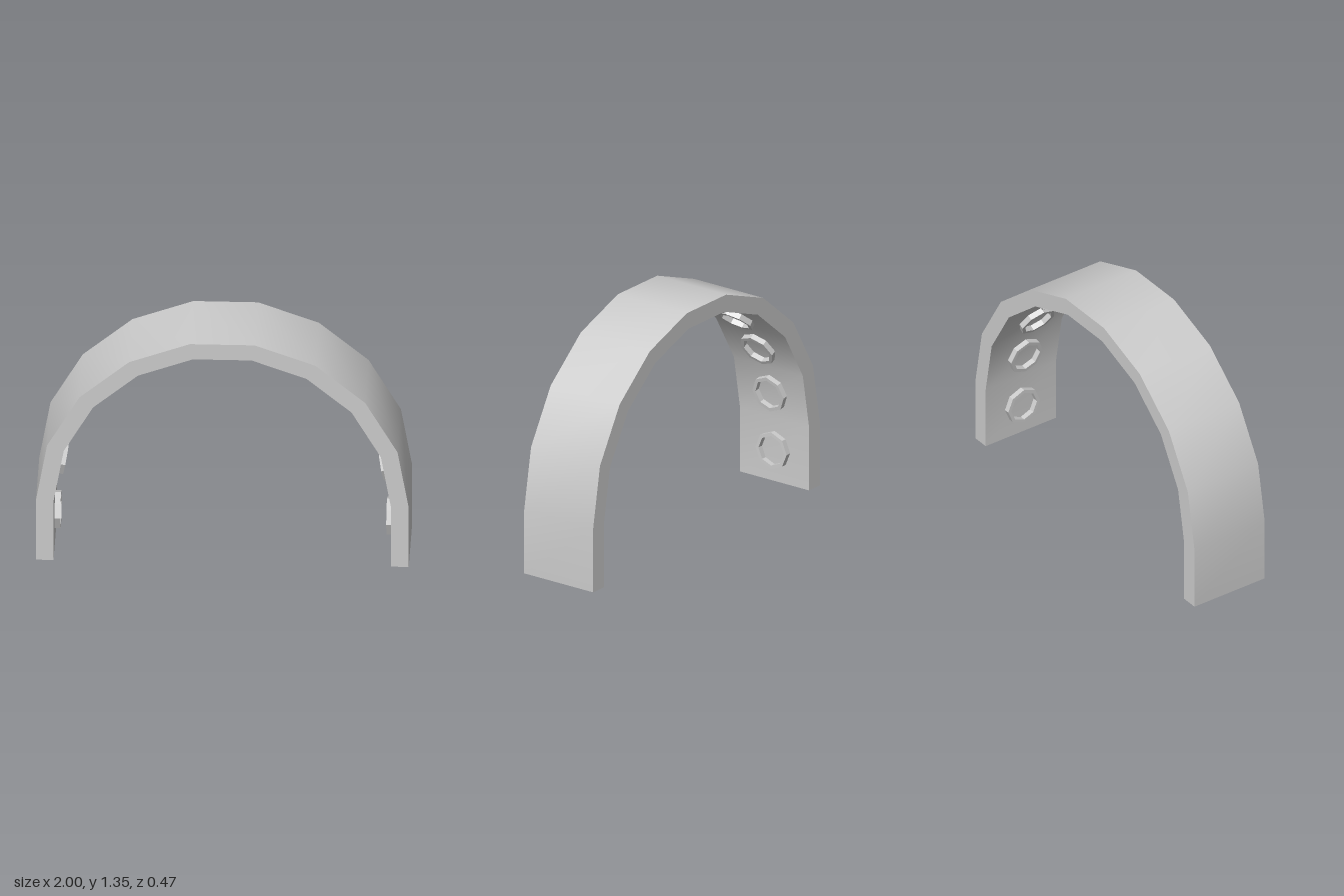
import * as THREE from 'three';
import { toCreasedNormals } from 'three/addons/utils/BufferGeometryUtils.js';

const OUTER = 1, INNER = 0.905, SPRING = 0.365, DEPTH = 0.465;
const STEP = Math.PI / 9; // nine straight segments over the half circle

// Points of one edge of the arch, from the right foot to the left foot
function archLine(radius) {
  const points = [new THREE.Vector2(radius, 0)];
  for (let i = 0; i <= 9; i++) {
    points.push(new THREE.Vector2(radius * Math.cos(i * STEP), SPRING + radius * Math.sin(i * STEP)));
  }
  points.push(new THREE.Vector2(-radius, 0));
  return points;
}

function octagon(radius) {
  return Array.from({ length: 8 }, (_, i) =>
    new THREE.Vector2(radius * Math.cos(i * Math.PI / 4), radius * Math.sin(i * Math.PI / 4)));
}

export function createModel() {
  const group = new THREE.Group();
  group.name = 'archway';
  const material = new THREE.MeshStandardMaterial({ color: 0xcccccc });

  // Arch band, smooth along its curve with sharp side edges
  const profile = new THREE.Shape([...archLine(OUTER), ...archLine(INNER).reverse()]);
  const band = new THREE.ExtrudeGeometry(profile, { depth: DEPTH, bevelEnabled: false });
  band.translate(0, 0, -DEPTH / 2);
  const arch = new THREE.Mesh(toCreasedNormals(band, Math.PI / 6), material);
  arch.name = 'arch';
  group.add(arch);

  // Octagonal rings on the inner faces, turned to point inward along -x
  const ringShape = new THREE.Shape(octagon(0.105));
  ringShape.holes.push(new THREE.Path(octagon(0.085)));
  const ringGeometry = new THREE.ExtrudeGeometry(ringShape, { depth: 0.031, bevelEnabled: false });
  ringGeometry.rotateY(-Math.PI / 2);

  function addRing(x, y, angle) {
    const ring = new THREE.Mesh(ringGeometry, material);
    ring.name = 'ring';
    ring.position.set(x, y, 0);
    ring.rotation.z = angle;
    group.add(ring);
  }

  // One ring on each leg
  addRing(INNER, SPRING / 2, 0);
  addRing(-INNER, SPRING / 2, Math.PI);

  // One ring in the middle of each curved segment
  const apothem = INNER * Math.cos(STEP / 2);
  for (let i = 0; i < 9; i++) {
    const angle = (i + 0.5) * STEP;
    addRing(apothem * Math.cos(angle), SPRING + apothem * Math.sin(angle), angle);
  }
  return group;
}
